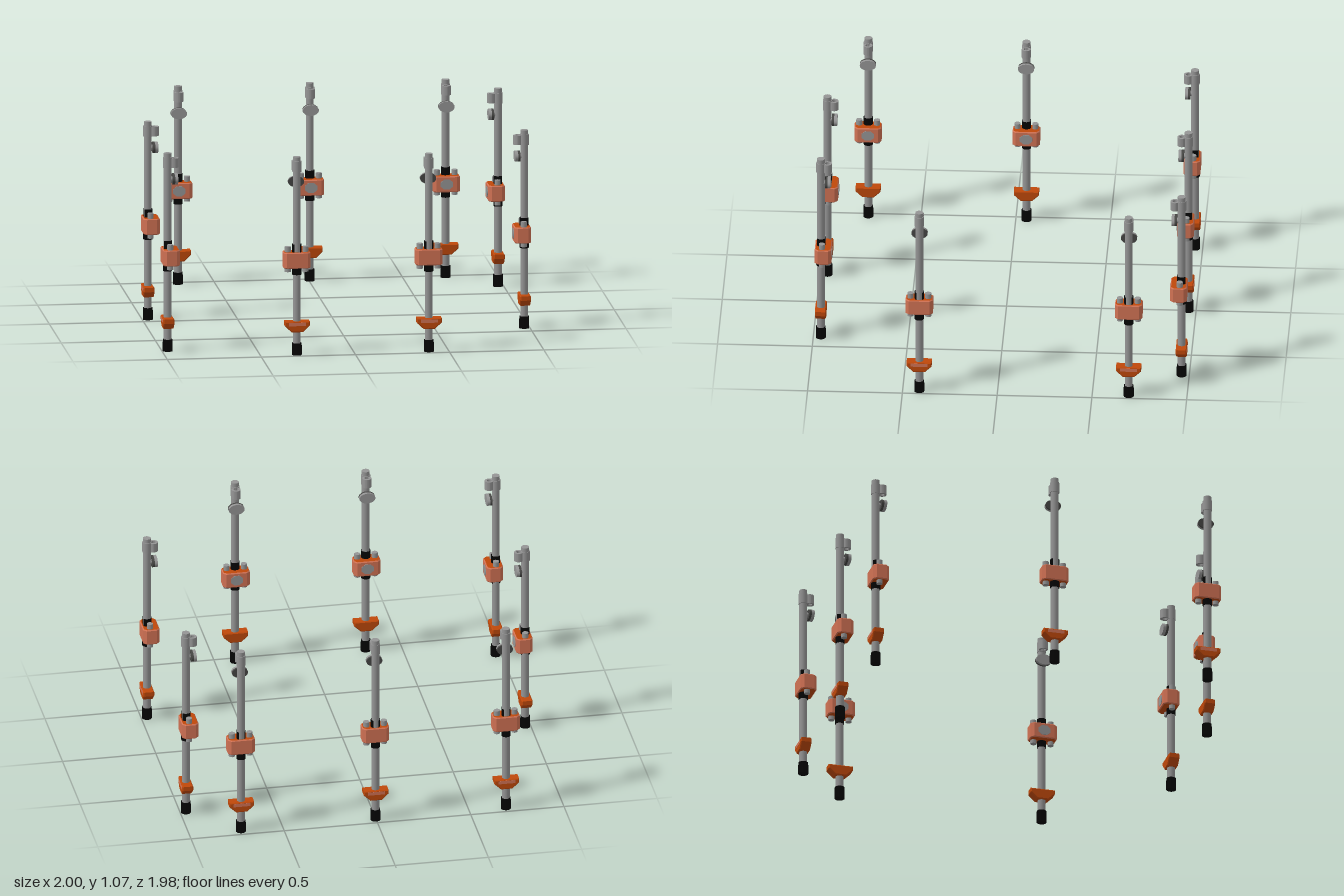
import * as THREE from 'three';

const mat = (name, color, side = THREE.FrontSide) => {
  const m = new THREE.MeshStandardMaterial({ color, side });
  m.name = name;
  return m;
};

export function createModel() {
  const steel = mat('steel grey', 0x959595);
  const darkSteel = mat('dark steel', 0x464644);
  const black = mat('black rubber', 0x040404, THREE.DoubleSide);
  const orange = mat('burnt orange', 0xbf480a);
  const coral = mat('faded orange', 0xd17254);

  const add = (group, name, geometry, material, x = 0, y = 0, z = 0) => {
    const mesh = new THREE.Mesh(geometry, material);
    mesh.name = name;
    mesh.position.set(x, y, z);
    group.add(mesh);
    return mesh;
  };
  const rod = (r, y0, y1, sides = 20) =>
    new THREE.CylinderGeometry(r, r, y1 - y0, sides).translate(0, (y0 + y1) / 2, 0);
  const bevel = {
    bevelEnabled: true, bevelThickness: 0.005, bevelSize: 0.005, bevelOffset: -0.005, bevelSegments: 1,
  };
  const shape = (points) => new THREE.Shape(points.map(([x, y]) => new THREE.Vector2(x, y)));

  // Clamp body: chamfered outline seen from above, extruded upwards
  const w = 0.072, back = -0.03, front = 0.058, c = 0.017;
  const clampGeo = new THREE.ExtrudeGeometry(shape([
    [-w + c, -front], [w - c, -front], [w, -front + c], [w, -back - c],
    [w - c, -back], [-w + c, -back], [-w, -back - c], [-w, -front + c],
  ]), { depth: 0.076, ...bevel }).rotateX(-Math.PI / 2).translate(0, 0.472, 0);

  // Foot peg: broad top tapering to a narrow underside
  const pegGeo = new THREE.ExtrudeGeometry(shape([
    [-0.03, 0.125], [0.03, 0.125], [0.066, 0.159], [0.066, 0.183], [-0.066, 0.183], [-0.066, 0.159],
  ]), { depth: 0.048, ...bevel }).translate(0, 0, -0.024);

  // Wire eye at the head: a short upright tube
  const eyeShape = new THREE.Shape().absarc(0, 0, 0.024, 0, Math.PI * 2);
  eyeShape.holes.push(new THREE.Path().absarc(0, 0, 0.013, 0, Math.PI * 2, true));
  const eyeGeo = new THREE.ExtrudeGeometry(eyeShape, { depth: 0.05, bevelEnabled: false, curveSegments: 10 })
    .rotateX(-Math.PI / 2);

  const poleGeo = rod(0.021, 0.04, 1.0);
  const tipGeo = rod(0.0265, 0, 0.05);
  const tipRingGeo = rod(0.0255, 0.05, 0.064);
  const wornGeo = new THREE.BoxGeometry(0.09, 0.018, 0.002);
  const collarGeo = rod(0.0245, 0.432, 0.47);
  // Sleeve is split open at the back
  const sleeveGeo = new THREE.CylinderGeometry(
    0.0245, 0.0245, 0.045, 20, 1, true, -0.8 * Math.PI, 1.6 * Math.PI);
  const boltGeo = rod(0.0165, 0.446, 0.581, 14);
  const headGeo = rod(0.0245, 0.985, 1.042);
  const capGeo = rod(0.021, 1.04, 1.065);
  const disc = (r, depth, stretch) =>
    new THREE.CylinderGeometry(r, r, depth, 24).rotateX(Math.PI / 2).scale(stretch, 1, 1);
  const knobGeo = disc(0.029, 0.016, 1.47);
  const knobBackGeo = disc(0.029, 0.012, 1.47);
  const stemGeo = disc(0.014, 0.02, 1);
  const padGeo = new THREE.CylinderGeometry(0.031, 0.031, 0.004, 8)
    .rotateY(Math.PI / 8).rotateX(Math.PI / 2).scale(1.15, 0.95, 1);

  // One stake, facing local +z
  const makeStake = () => {
    const g = new THREE.Group();
    add(g, 'pole', poleGeo, steel);
    add(g, 'rubberTip', tipGeo, black);
    add(g, 'tipRing', tipRingGeo, black);
    add(g, 'footPeg', pegGeo, orange);
    add(g, 'pegWornPatch', wornGeo, coral, 0, 0.168, -0.029);
    add(g, 'lowerCollar', collarGeo, black);
    add(g, 'upperSleeve', sleeveGeo, black, 0, 0.573, 0);
    // Top and bottom stay bright, the sides are faded
    add(g, 'clamp', clampGeo, [orange, coral]);
    add(g, 'clampPad', padGeo, steel, 0, 0.51, front + 0.001);
    for (const s of [-1, 1]) add(g, 'clampBolt', boltGeo, steel, s * 0.047, 0, 0.008);
    add(g, 'knobStem', stemGeo, steel, 0, 0.925, 0.024);
    add(g, 'knob', knobGeo, steel, 0, 0.925, 0.044);
    add(g, 'knobBack', knobBackGeo, darkSteel, 0, 0.925, 0.03);
    add(g, 'head', headGeo, steel);
    add(g, 'wireEye', eyeGeo, steel, 0, 0.988, 0.035);
    add(g, 'headCap', capGeo, steel);
    return g;
  };

  // Stakes around a square, all facing inwards: x, z, turn
  const H = Math.PI / 2;
  const model = new THREE.Group();
  model.name = 'stakeRing';
  [
    [-0.696, -0.96, 0], [0.004, -0.96, 0], [0.725, -0.96, 0],
    [-0.307, 0.96, 2 * H], [0.394, 0.96, 2 * H],
    [-0.97, -0.057, H], [-0.97, 0.778, H],
    [0.97, -0.693, -H], [0.97, 0.412, -H],
  ].forEach(([x, z, turn], i) => {
    const stake = makeStake();
    stake.name = 'stake' + (i + 1);
    stake.position.set(x, 0, z);
    stake.rotation.y = turn;
    model.add(stake);
  });
  return model;
}
